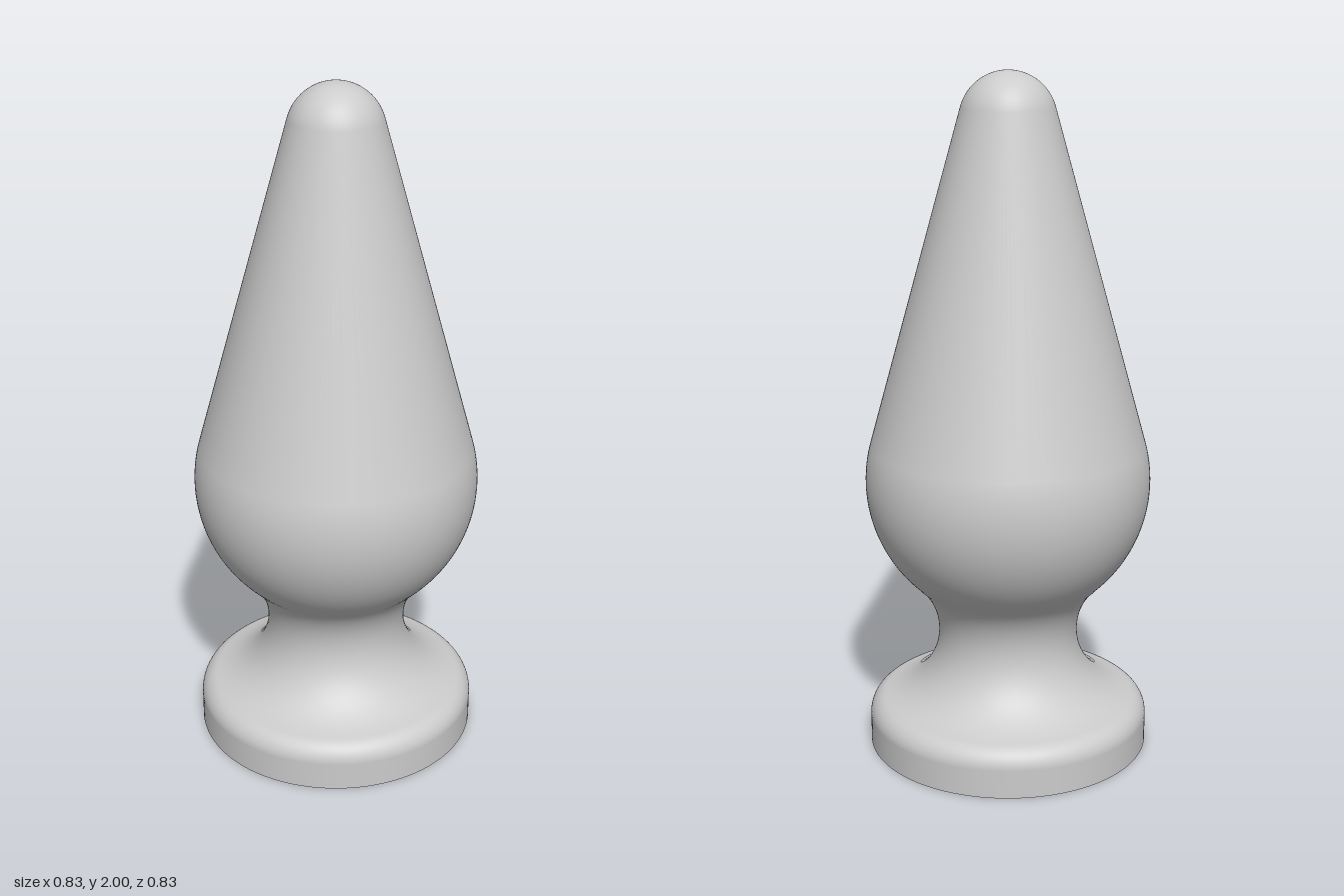
import * as THREE from 'three';

const SIDES = 128;

export function createModel() {
  const group = new THREE.Group();
  group.name = 'taperedFinial';
  const material = new THREE.MeshStandardMaterial({ color: 0xcccccc });

  // Circles that make up the silhouette: [centre x, centre y, radius]
  const rim = [0.355, 0.085, 0.062];
  const neck = [0.417, 0.35, 0.21];
  const bulb = [0, 0.82, 0.417];
  const tip = [0, 1.862, 0.138];

  // Angles at which neighbouring circles touch, and the slope of the cone
  const angle = (a, b) => Math.atan2(b[1] - a[1], b[0] - a[0]);
  const rimEnd = angle(rim, neck);
  const neckEnd = angle(neck, bulb);
  const cone = Math.asin((bulb[2] - tip[2]) / (tip[1] - bulb[1]));

  // Sampled arc, both ends included
  const arc = ([cx, cy, r], from, to, steps) =>
    Array.from({ length: steps + 1 }, (_, i) => {
      const a = from + ((to - from) * i) / steps;
      return new THREE.Vector2(Math.max(0, cx + r * Math.cos(a)), cy + r * Math.sin(a));
    });

  const profile = [
    new THREE.Vector2(0.417, 0),
    ...arc(rim, 0, rimEnd, 12),
    ...arc(neck, rimEnd + Math.PI, neckEnd, 32).slice(1),
    ...arc(bulb, neckEnd - Math.PI, cone, 32).slice(1),
    ...arc(tip, cone, Math.PI / 2, 20),
  ];
  profile[profile.length - 1].x = 0;

  // Turned body: base rim, waisted neck, bulb, cone and rounded tip
  const body = new THREE.Mesh(new THREE.LatheGeometry(profile, SIDES), material);
  body.name = 'body';
  group.add(body);

  // Flat underside with a sharp edge
  const underside = new THREE.Mesh(new THREE.CircleGeometry(0.417, SIDES), material);
  underside.rotation.x = Math.PI / 2;
  underside.name = 'underside';
  group.add(underside);

  return group;
}
